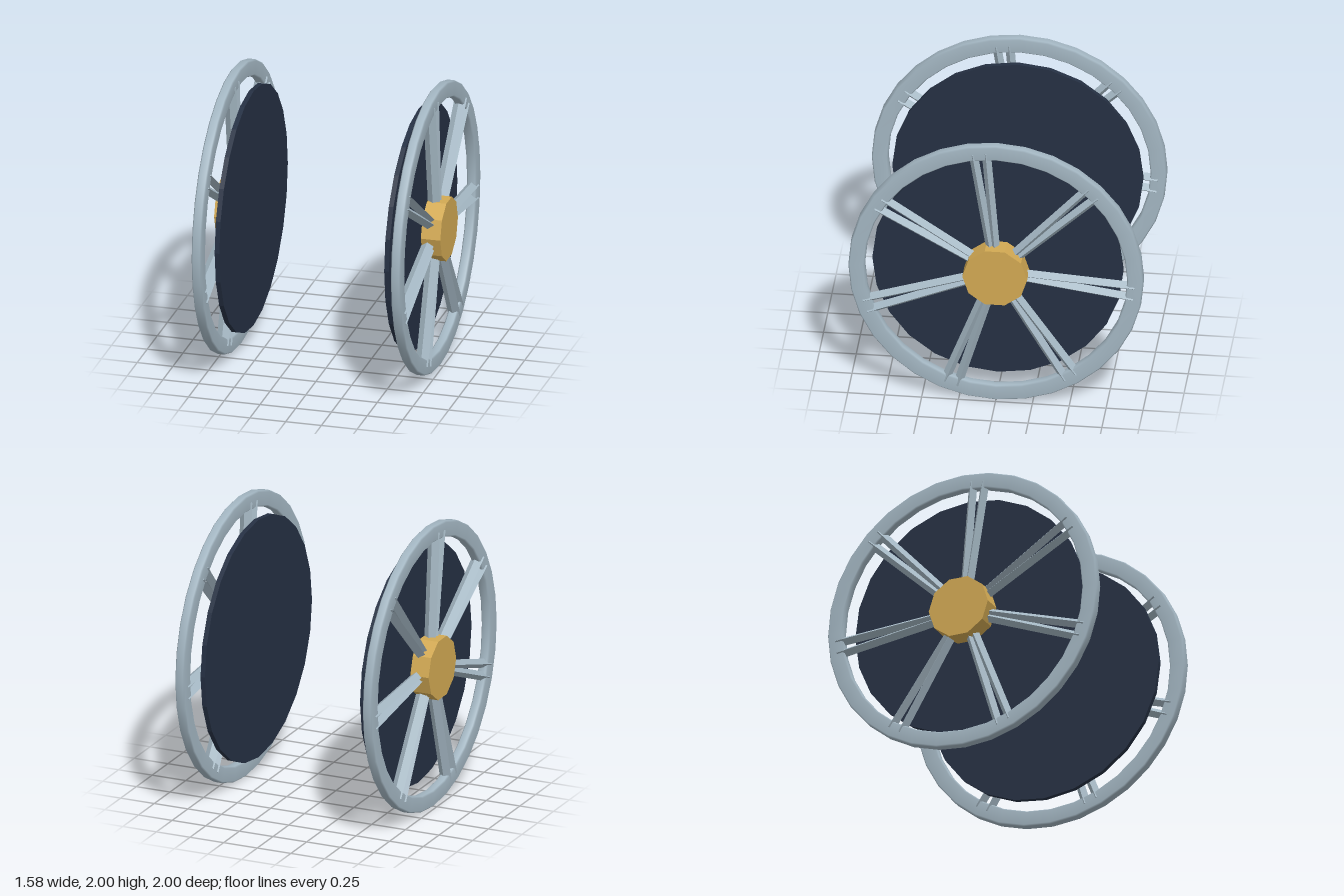
import * as THREE from 'three';

const metal = new THREE.MeshStandardMaterial({ color: 0xa3b6c2 });
metal.name = 'paleMetal';
const spokeMetal = metal;
const gold = new THREE.MeshStandardMaterial({ color: 0xd2a953 });
gold.name = 'gold';
const navy = new THREE.MeshStandardMaterial({ color: 0x253043 });
navy.name = 'navy';

const SPOKES = 7;
const FIRST_SPOKE = THREE.MathUtils.degToRad(6.9);

// Rim: a chamfered flat band, smooth shaded, turned about the x axis
function rimGeometry() {
  const inner = 0.89, outer = 1.0, half = 0.034, c = 0.01;
  const profile = [
    [inner, 0], [inner, -half + c], [inner + c, -half],
    [outer - c, -half], [outer, -half + c], [outer, half - c],
    [outer - c, half], [inner + c, half], [inner, half - c], [inner, 0],
  ].map(([r, x]) => new THREE.Vector2(r, x));
  return new THREE.LatheGeometry(profile, 32).rotateZ(-Math.PI / 2);
}

function drum(radius, length, sides) {
  const geo = new THREE.CylinderGeometry(radius, radius, length, sides);
  geo.rotateZ(-Math.PI / 2);
  const flat = geo.toNonIndexed();
  flat.computeVertexNormals();
  return flat;
}

// Diamond bar along y, its ridges facing along the axle
function barGeometry(length) {
  const geo = new THREE.CylinderGeometry(1, 1, length, 4).scale(0.043, 1, 0.031);
  const flat = geo.toNonIndexed();
  flat.computeVertexNormals();
  return flat;
}

function part(name, geometry, material, x = 0) {
  const mesh = new THREE.Mesh(geometry, material);
  mesh.name = name;
  mesh.position.x = x;
  return mesh;
}

function createWheel(side, geo) {
  const wheel = new THREE.Group();
  wheel.name = side > 0 ? 'leftWheel' : 'rightWheel';
  wheel.position.y = 1;

  wheel.add(part('rim', geo.rim, metal, side * 0.697));
  wheel.add(part('hub', geo.hub, gold, side * 0.723));
  wheel.add(part('backDisc', geo.disc, navy, side * 0.593));

  // Each spoke is a pair of bars spreading towards the rim
  for (let i = 0; i < SPOKES; i++) {
    const spoke = new THREE.Group();
    spoke.name = 'spoke';
    spoke.position.x = side * 0.697;
    spoke.rotation.x = FIRST_SPOKE + (i * Math.PI * 2) / SPOKES;
    for (const s of [-1, 1]) {
      const bar = part('spokeBar', geo.bar, spokeMetal);
      bar.position.set(0, 0.545, s * 0.03);
      bar.rotation.x = s * 0.038;
      spoke.add(bar);
    }
    wheel.add(spoke);
  }
  return wheel;
}

export function createModel() {
  const model = new THREE.Group();
  model.name = 'wheelPair';
  const geo = {
    rim: rimGeometry(),
    hub: drum(0.22, 0.136, 10),
    disc: drum(0.85, 0.033, 24),
    bar: barGeometry(0.79),
  };
  for (const side of [1, -1]) model.add(createWheel(side, geo));
  return model;
}
